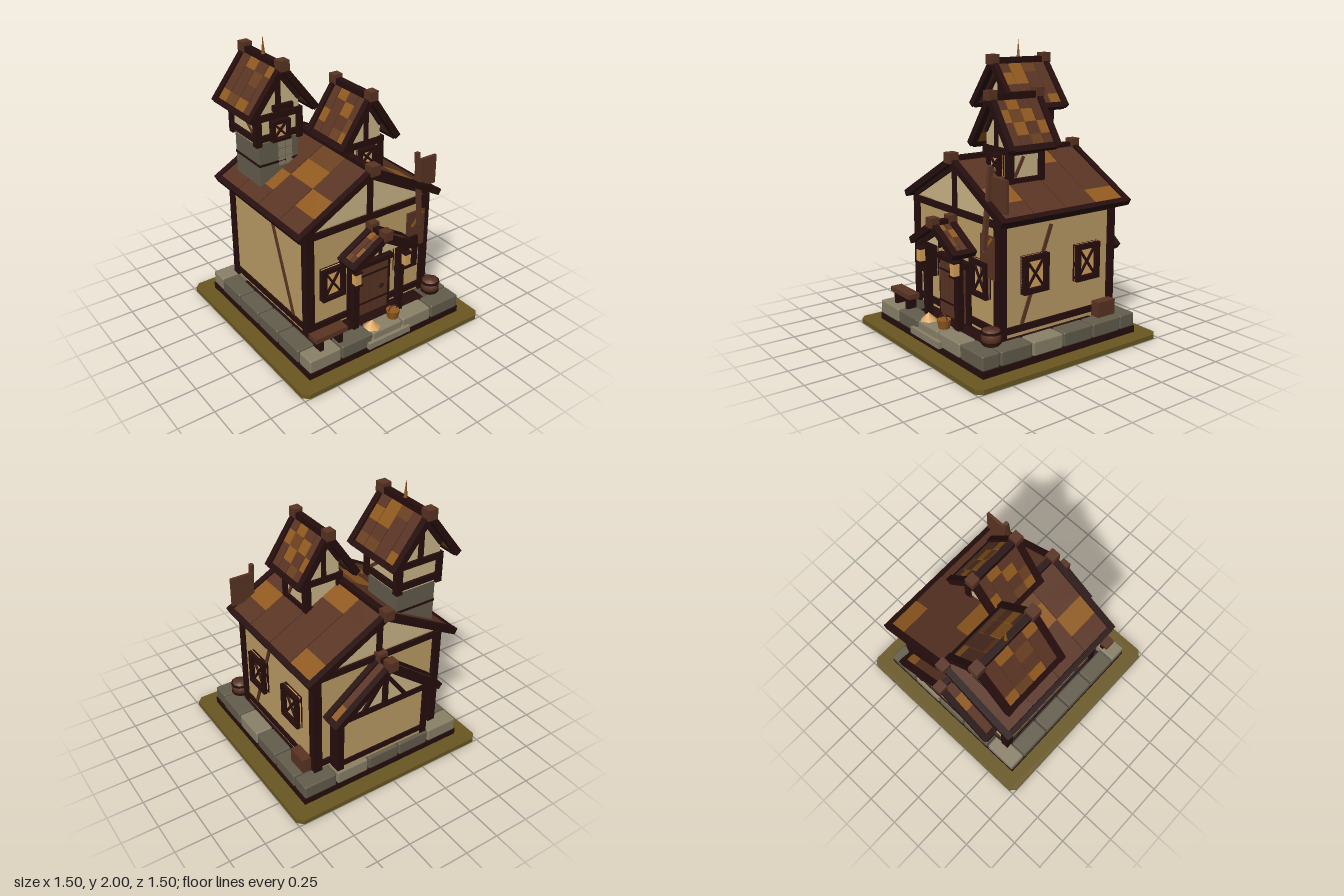
import * as THREE from 'three';
import { RoundedBoxGeometry } from 'three/addons/geometries/RoundedBoxGeometry.js';

const paint = (name, color) => {
  const m = new THREE.MeshStandardMaterial({ color });
  m.name = name;
  return m;
};
const grass = paint('grass', 0x6a5822), dark = paint('darkTimber', 0x260e0d), plaster = paint('plaster', 0xbd9e66),
  pale = paint('palePlaster', 0xcdb788), brown = paint('brownWood', 0x5a3423), orange = paint('orangeTile', 0x915a1f),
  mid = paint('midTile', 0x6b4020), stone = paint('stone', 0x645d4d), lightStone = paint('lightStone', 0x8a8168),
  amber = paint('amberGlass', 0xd8a45c);
const tileColors = { b: brown, o: orange, m: mid };

function add(parent, name, geo, mat, x, y, z) {
  const mesh = new THREE.Mesh(geo, mat);
  mesh.name = name;
  mesh.position.set(x, y, z);
  parent.add(mesh);
  return mesh;
}
const box = (p, name, mat, w, h, d, x, y, z) => add(p, name, new THREE.BoxGeometry(w, h, d), mat, x, y, z);

// Timber running between two points that share either z or x
function bar(p, name, mat, a, b, t, depth) {
  const [dx, dy, dz] = b.map((v, i) => v - a[i]);
  const alongZ = Math.abs(dz) > Math.abs(dx);
  const m = box(p, name, mat, alongZ ? depth : t, Math.hypot(dx, dy, dz), alongZ ? t : depth,
    (a[0] + b[0]) / 2, (a[1] + b[1]) / 2, (a[2] + b[2]) / 2);
  if (alongZ) m.rotation.x = Math.atan2(dz, dy);
  else m.rotation.z = -Math.atan2(dx, dy);
  return m;
}

function part(parent, name) {
  const g = new THREE.Group();
  g.name = name;
  parent.add(g);
  return g;
}

// Four corner posts plus rings of horizontal beams at the given heights
function timberFrame(p, cx, w, z0, z1, y0, y1, t, beams) {
  const cz = (z0 + z1) / 2, d = z1 - z0;
  for (const s of [-1, 1]) {
    for (const z of [z0 + t / 2, z1 - t / 2]) box(p, 'cornerPost', dark, t, y1 - y0, t, cx + s * (w / 2 - t / 2), (y0 + y1) / 2, z);
    for (const y of beams) {
      box(p, 'sideBeam', dark, t * 0.9, 0.045, d - t, cx + s * (w / 2 - t / 2), y, cz);
      box(p, 'crossBeam', dark, w - t, 0.045, t * 0.9, cx, y, cz + s * (d / 2 - t / 2));
    }
  }
}

// Pitched roof: tiled strips (ridge to eave), rafters, ridge beam, eave beams and ridge caps
function roof(parent, name, { cx, ridge, eave, half, z0, z1, left, right, t = 0.045, cap = 0.07 }) {
  const g = part(parent, name);
  const len = Math.hypot(half, ridge - eave), tilt = Math.atan2(eave - ridge, half);
  for (const [s, rows] of [[-1, left], [1, right]]) {
    const pitch = (z1 - z0 - t) / rows.length;
    rows.forEach((row, r) => [...row].forEach((c, i) => {
      const f = (i + 0.5) / row.length;
      box(g, 'roofTile', tileColors[c], len / row.length, 0.024, pitch - 0.006,
        cx + s * half * f, ridge + (eave - ridge) * f, z0 + t / 2 + pitch * (r + 0.5)).rotation.z = s * tilt;
    }));
    for (const z of [z0 + t / 2, z1 - t / 2]) {
      bar(g, 'rafter', dark, [cx, ridge + 0.005, z], [cx + s * (half + 0.015), eave - 0.008, z], t, t);
    }
    box(g, 'eaveBeam', dark, t * 0.9, 0.04, z1 - z0 - t, cx + s * half, eave, (z0 + z1) / 2).rotation.z = s * tilt;
  }
  box(g, 'ridgeBeam', dark, t, 0.045, z1 - z0, cx, ridge + 0.01, (z0 + z1) / 2);
  for (const z of [z0 + 0.02, z1 - 0.02]) box(g, 'ridgeCap', brown, cap, cap, cap, cx, ridge + 0.023, z);
  return g;
}

// Solid plaster gable fitted below a roof, with a king post on each face
function gable(p, { cx, ridge, eave, half }, w, base, z0, z1, post = 0.04) {
  const top = ridge - 0.03, shoulder = Math.max(base + 0.002, top - (ridge - eave) * w / half);
  const shape = new THREE.Shape([[-w, base], [w, base], [w, shoulder], [0, top], [-w, shoulder]]
    .map(([x, y]) => new THREE.Vector2(x, y)));
  add(p, 'gable', new THREE.ExtrudeGeometry(shape, { depth: z1 - z0, bevelEnabled: false }), pale, cx, 0, z0);
  for (const z of [z0, z1]) {
    box(p, 'kingPost', dark, post, top - base, 0.03, cx, (top + base) / 2, z);
    for (const s of [-1, 1]) bar(p, 'gableRafter', dark, [cx, top - 0.005, z], [cx + s * w, shoulder - 0.005, z], 0.035, 0.03);
  }
}

// Amber window with a timber frame and crossed bars, facing +z
function windowUnit(p, w, h, x, y, z, turn = 0) {
  const g = part(p, 'window'), t = w * 0.17;
  box(g, 'pane', amber, w, h, 0.008, 0, 0, 0.012);
  for (const s of [-1, 1]) {
    box(g, 'frameSide', dark, t, h, 0.045, s * (w - t) / 2, 0, 0.02);
    box(g, 'frameRail', dark, w, t, 0.045, 0, s * (h - t) / 2, 0.02);
    bar(g, 'crossBar', dark, [-s * (w / 2 - t), -h / 2 + t, 0.02], [s * (w / 2 - t), h / 2 - t, 0.02], 0.014, 0.018);
  }
  g.position.set(x, y, z);
  g.rotation.y = turn;
}

export function createModel() {
  const model = new THREE.Group();
  model.name = 'timberHouse';

  // Ground with clipped corners and stone footing
  const base = part(model, 'base');
  const c = 0.75, k = 0.71;
  const plate = new THREE.Shape([[-c, -k], [-k, -c], [k, -c], [c, -k], [c, k], [k, c], [-k, c], [-c, k]].map(([x, y]) => new THREE.Vector2(x, y)));
  add(base, 'ground', new THREE.ExtrudeGeometry(plate, { depth: 0.032, bevelEnabled: false }), grass, 0, 0, 0).rotation.x = -Math.PI / 2;
  base.children[0].scale.z = 1;
  box(base, 'plinth', dark, 1.27, 0.05, 1.27, 0, 0.053, 0);
  const block = (w, d, x, z, light) => add(base, 'footingStone', new RoundedBoxGeometry(w, 0.1, d, 1, 0.012), light ? lightStone : stone, x, 0.125, z);
  for (let i = 0; i < 5; i++) {
    const x = (i - 2) * 0.254;
    block(0.244, 0.13, x, 0.57, [1, 0, 1, 1, 0][i]);
    block(0.244, 0.13, x, -0.57, [1, 0, 0, 1, 0][i]);
    if (i < 4) for (const s of [-1, 1]) block(0.13, 0.242, s * 0.57, (i - 1.5) * 0.251, i === 2 && s > 0);
  }
  box(base, 'doorStep', lightStone, 0.35, 0.045, 0.1, 0, 0.098, 0.61);

  // Main house
  const house = part(model, 'mainHouse');
  box(house, 'walls', plaster, 0.98, 0.775, 0.93, 0, 0.5625, -0.065);
  timberFrame(house, 0, 1.01, -0.55, 0.42, 0.175, 0.94, 0.06, [0.225, 0.918]);
  const main = { cx: 0, ridge: 1.25, eave: 0.948, half: 0.555, z0: -0.62, z1: 0.45,
    left: ['bbbb', 'bbob', 'mobb', 'bbob'], right: ['bbbo', 'obbb', 'bbbb', 'bbob'] };
  roof(house, 'mainRoof', main);
  gable(house, main, 0.485, 0.935, -0.53, 0.4);
  for (const s of [-1, 1]) {
    windowUnit(house, 0.18, 0.24, s * 0.305, 0.54, 0.405);
    bar(house, 'wallBrace', brown, [s * 0.493, 0.25, 0.235], [s * 0.493, 0.87, 0], 0.026, 0.012);
  }
  for (const z of [0.145, -0.29]) windowUnit(house, 0.2, 0.25, 0.495, 0.575, z, Math.PI / 2);

  // Plank door
  const door = part(house, 'door');
  box(door, 'doorBack', dark, 0.35, 0.43, 0.03, 0, 0.39, 0.41);
  for (let i = 0; i < 5; i++) box(door, 'plank', brown, 0.052, 0.38, 0.02, (i - 2) * 0.058, 0.375, 0.43);
  for (const y of [0.28, 0.5]) box(door, 'doorBand', dark, 0.29, 0.012, 0.008, 0, y, 0.442);
  box(door, 'lintel', dark, 0.35, 0.035, 0.05, 0, 0.585, 0.43);
  add(door, 'handle', new THREE.TorusGeometry(0.013, 0.005, 6, 10), dark, 0.085, 0.37, 0.447);

  // Front porch with lanterns
  const porch = part(model, 'porch');
  const porchRoof = { cx: 0, ridge: 0.845, eave: 0.7, half: 0.245, z0: 0.42, z1: 0.6, cap: 0.065, left: ['obbm', 'mbob'], right: ['bobb', 'obmb'] };
  roof(porch, 'porchRoof', porchRoof);
  gable(porch, porchRoof, 0.19, 0.69, 0.41, 0.52, 0.02);
  for (const s of [-1, 1]) {
    box(porch, 'porchPost', dark, 0.045, 0.53, 0.045, s * 0.187, 0.44, 0.507);
    box(porch, 'porchBeam', dark, 0.045, 0.04, 0.17, s * 0.187, 0.695, 0.49);
    box(porch, 'lanternGlass', amber, 0.045, 0.085, 0.045, s * 0.205, 0.595, 0.548);
    for (const y of [0.55, 0.645]) box(porch, 'lanternCap', dark, 0.06, 0.012, 0.056, s * 0.205, y, 0.548);
  }
  add(porch, 'grainPile', new THREE.ConeGeometry(0.06, 0.055, 6), amber, -0.085, 0.202, 0.57);
  add(porch, 'basket', new THREE.CylinderGeometry(0.048, 0.038, 0.06, 8), orange, 0.095, 0.205, 0.565);
  add(porch, 'basketHandle', new THREE.TorusGeometry(0.036, 0.005, 5, 8, Math.PI), brown, 0.095, 0.232, 0.565);

  // Rear annex
  const annex = part(model, 'rearAnnex');
  box(annex, 'annexWalls', plaster, 0.7, 0.42, 0.08, 0, 0.385, -0.57);
  timberFrame(annex, 0, 0.74, -0.62, -0.53, 0.175, 0.61, 0.05, [0.225, 0.575]);
  const annexRoof = { cx: 0, ridge: 0.905, eave: 0.598, half: 0.4, z0: -0.685, z1: -0.53, left: ['bobb'], right: ['bbbo'] };
  roof(annex, 'annexRoof', annexRoof);
  gable(annex, annexRoof, 0.35, 0.575, -0.61, -0.54);
  for (const s of [-1, 1]) bar(annex, 'annexStrut', dark, [0, 0.82, -0.61], [s * 0.17, 0.59, -0.61], 0.03, 0.03);

  // Stone tower with a timber head and spire
  const tower = part(model, 'tower');
  const tx = -0.305, tz = -0.345;
  box(tower, 'shaft', stone, 0.3, 0.42, 0.31, tx, 1.12, tz);
  box(tower, 'shaftBand', dark, 0.308, 0.016, 0.318, tx, 1.17, tz);
  for (let i = 0; i < 6; i++) box(tower, 'shaftBlock', lightStone, 0.05, 0.055, 0.008, -0.285 + (i % 2) * 0.056, 1.165 + Math.floor(i / 2) * 0.062, -0.19);
  box(tower, 'headWalls', pale, 0.32, 0.21, 0.32, tx, 1.425, tz - 0.005);
  timberFrame(tower, tx, 0.36, -0.53, -0.17, 1.315, 1.53, 0.045, [1.365, 1.508]);
  const towerRoof = { cx: tx, ridge: 1.842, eave: 1.535, half: 0.232, z0: -0.6, z1: -0.1,
    left: ['bbbo', 'obbm', 'bmbo', 'obbb'], right: ['bbbo', 'mbbb', 'oobm', 'bobm'] };
  roof(tower, 'towerRoof', towerRoof);
  gable(tower, towerRoof, 0.16, 1.525, -0.515, -0.19, 0.035);
  box(tower, 'collarBeam', dark, 0.15, 0.04, 0.03, tx + 0.03, 1.56, -0.18);
  windowUnit(tower, 0.14, 0.145, tx, 1.408, -0.185);
  for (const s of [-1, 1]) bar(tower, 'headBrace', brown, [tx + s * 0.162, 1.39, -0.23], [tx + s * 0.162, 1.465, -0.32], 0.022, 0.012);
  add(tower, 'spire', new THREE.ConeGeometry(0.013, 0.13, 6), orange, tx, 1.935, tz);

  // Dormer turret on the ridge
  const dormer = part(model, 'dormer');
  const dx = 0.14;
  box(dormer, 'dormerWalls', pale, 0.25, 0.33, 0.26, dx, 1.185, 0.033);
  timberFrame(dormer, dx, 0.29, -0.115, 0.18, 1.02, 1.34, 0.045, [1.12, 1.315]);
  const dormerRoof = { cx: dx, ridge: 1.648, eave: 1.34, half: 0.203, z0: -0.185, z1: 0.24, cap: 0.065,
    left: ['bbob', 'obbb', 'bobm', 'bbmo'], right: ['bbob', 'bobm', 'omob', 'bobb'] };
  roof(dormer, 'dormerRoof', dormerRoof);
  gable(dormer, dormerRoof, 0.12, 1.33, -0.1, 0.165, 0.03);
  windowUnit(dormer, 0.14, 0.14, dx, 1.225, 0.165);
  for (const s of [-1, 1]) bar(dormer, 'dormerBrace', brown, [dx + s * 0.128, 1.15, 0.12], [dx + s * 0.128, 1.28, 0.05], 0.022, 0.012);

  // Hanging boards on a pole
  const boards = part(model, 'boards');
  bar(boards, 'pole', brown, [0.395, 0.75, 0.455], [0.39, 1.27, 0.4], 0.028, 0.028);
  box(boards, 'upperBoard', brown, 0.17, 0.21, 0.02, 0.475, 1.105, 0.395);
  box(boards, 'lowerBoard', brown, 0.15, 0.275, 0.015, 0.388, 0.703, 0.42);
  bar(boards, 'boardMark', orange, [0.35, 0.73, 0.429], [0.44, 0.83, 0.429], 0.022, 0.006);

  // Bench, barrel and crate
  const yard = part(model, 'yardItems');
  box(yard, 'benchSeat', brown, 0.25, 0.035, 0.085, -0.43, 0.27, 0.55);
  for (const s of [-1, 1]) box(yard, 'benchLeg', dark, 0.03, 0.08, 0.07, -0.43 + s * 0.075, 0.215, 0.55);
  add(yard, 'barrel', new THREE.LatheGeometry([[0, 0], [0.055, 0], [0.066, 0.05], [0.055, 0.1], [0, 0.1]].map(([r, y]) => new THREE.Vector2(r, y)), 10), brown, 0.503, 0.175, 0.48);
  for (const y of [0.195, 0.26]) add(yard, 'barrelHoop', new THREE.CylinderGeometry(0.067, 0.067, 0.014, 10), dark, 0.503, y, 0.48);
  box(yard, 'crate', brown, 0.07, 0.105, 0.15, 0.535, 0.228, -0.432);
  return model;
}
